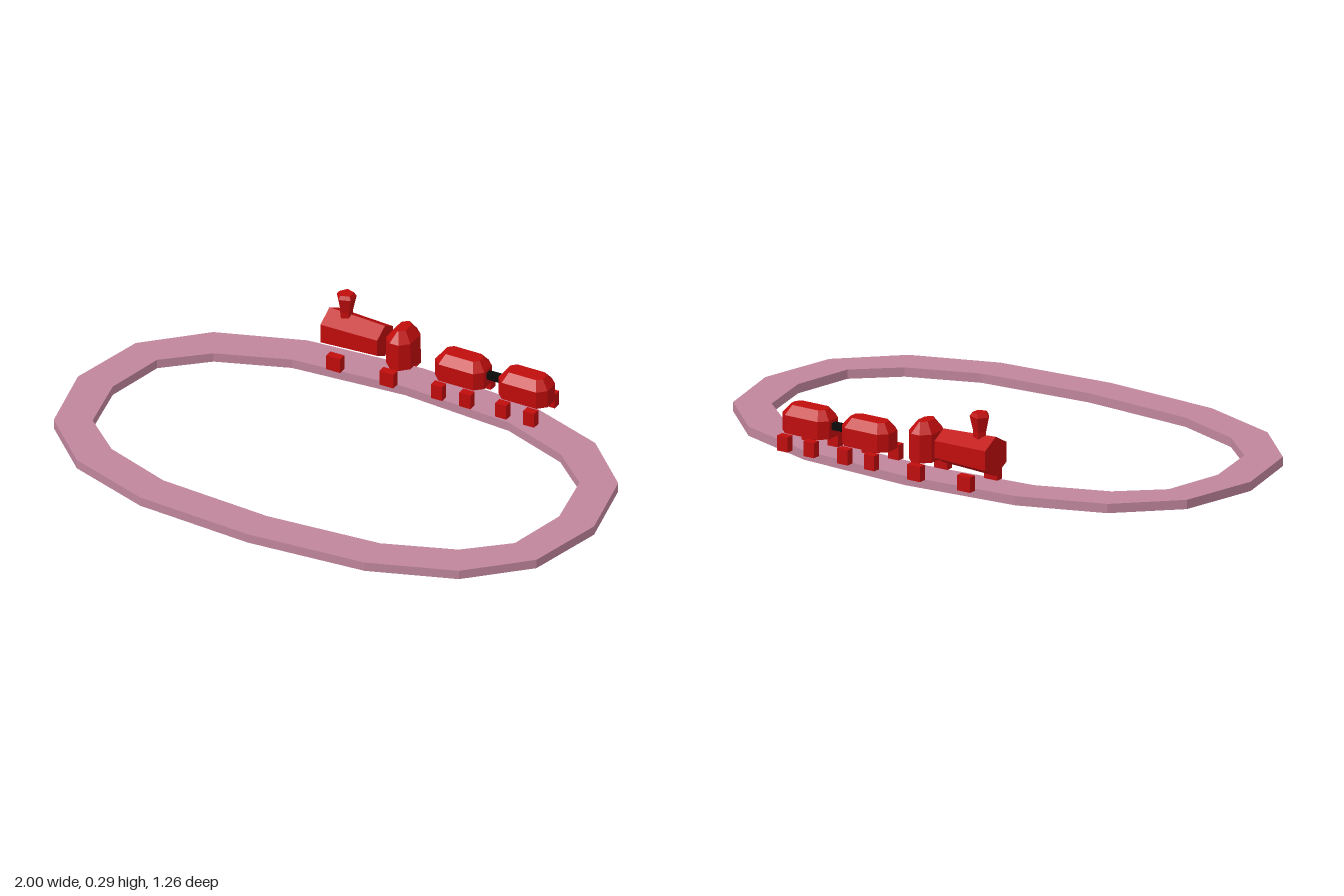
import * as THREE from 'three';

const material = (name, color) => {
  const m = new THREE.MeshStandardMaterial({ color, flatShading: true });
  m.name = name;
  return m;
};

// Box with chamfered upright edges and a chamfered top, from three octagonal loops
function chamferedBody(length, width, bottom, top, c, topC) {
  const octagon = (inset, y) => {
    const a = length / 2 - inset, b = width / 2 - inset, k = c * (inset ? 0.6 : 1);
    return [[a, b - k], [a - k, b], [k - a, b], [-a, b - k], [-a, k - b], [k - a, -b], [a - k, -b], [a, k - b]]
      .map(([x, z]) => [x, y, -z]);
  };
  const loops = [octagon(0, bottom), octagon(0, top - topC), octagon(c * 0.9, top)];
  const tri = [];
  for (let i = 0; i < 8; i++) {
    const j = (i + 1) % 8;
    for (let l = 0; l < 2; l++) {
      const lo = loops[l], hi = loops[l + 1];
      tri.push(lo[i], lo[j], hi[j], lo[i], hi[j], hi[i]);
    }
    tri.push([0, top, 0], loops[2][i], loops[2][j]);
    tri.push([0, bottom, 0], loops[0][j], loops[0][i]);
  }
  const g = new THREE.BufferGeometry();
  g.setAttribute('position', new THREE.Float32BufferAttribute(tri.flat(), 3));
  g.computeVertexNormals();
  return g;
}

export function createModel() {
  const model = new THREE.Group();
  model.name = 'toyTrain';
  const pink = material('trackPink', 0xc0859c);
  const red = material('trainRed', 0xc00c0c);
  const black = material('couplerBlack', 0x0a0a0a);

  const add = (parent, name, geometry, mat, x = 0, y = 0, z = 0) => {
    const mesh = new THREE.Mesh(geometry, mat);
    mesh.name = name;
    mesh.position.set(x, y, z);
    parent.add(mesh);
    return mesh;
  };

  // Track: a quarter outline mirrored into a sixteen-sided oval ring
  const oval = (q) => {
    const half = [...q, ...q.slice(0, -1).reverse().map(([x, y]) => [-x, y])];
    const all = [...half, ...half.slice(1, -1).reverse().map(([x, y]) => [x, -y])];
    return all.map(([x, y]) => new THREE.Vector2(x, y));
  };
  const trackShape = new THREE.Shape(oval([[1, 0], [0.935, 0.285], [0.74, 0.475], [0.435, 0.583], [0, 0.615]]));
  trackShape.holes.push(new THREE.Path(
    oval([[0.865, 0], [0.818, 0.225], [0.672, 0.355], [0.42, 0.448], [0, 0.48]])));
  const track = new THREE.ExtrudeGeometry(trackShape, { depth: 0.033, bevelEnabled: false });
  track.rotateX(-Math.PI / 2);
  add(model, 'track', track, pink, 0, 0, 0.015);

  const train = new THREE.Group();
  train.name = 'train';
  train.position.z = -0.532;
  model.add(train);

  // Boiler: tapered hexagon lying along x, ridge upward
  const boiler = new THREE.CylinderGeometry(0.07, 0.06, 0.215, 6, 1, false, Math.PI / 2);
  boiler.rotateZ(Math.PI / 2).scale(1, 1, 1.05);
  add(train, 'boiler', boiler, red, -0.222, 0.145);

  // Flared five-sided chimney
  const chimney = [[0, 0.2], [0.024, 0.2], [0.024, 0.225], [0.036, 0.278], [0.027, 0.291], [0, 0.291]]
    .map(([r, y]) => new THREE.Vector2(r, y));
  add(train, 'chimney', new THREE.LatheGeometry(chimney, 5, -Math.PI / 2), red, -0.265);

  // Cab and the two wagons
  add(train, 'cab', chamferedBody(0.094, 0.132, 0.087, 0.225, 0.03, 0.038), red, -0.043);
  for (const x of [0.19, 0.435])
    add(train, 'wagon', chamferedBody(0.19, 0.11, 0.088, 0.184, 0.028, 0.032), red, x);
  add(train, 'coupler', new THREE.BoxGeometry(0.08, 0.024, 0.024), black, 0.312, 0.13);

  // Blocky wheels on both sides
  const wheels = (xs, width, offset) => {
    const g = new THREE.BoxGeometry(width, 0.054, 0.03);
    for (const x of xs) for (const s of [-1, 1]) add(train, 'wheel', g, red, x, 0.06, s * offset);
  };
  wheels([-0.262, -0.056], 0.054, 0.081);
  wheels([0.133, 0.243, 0.382, 0.49], 0.043, 0.072);

  return model;
}
